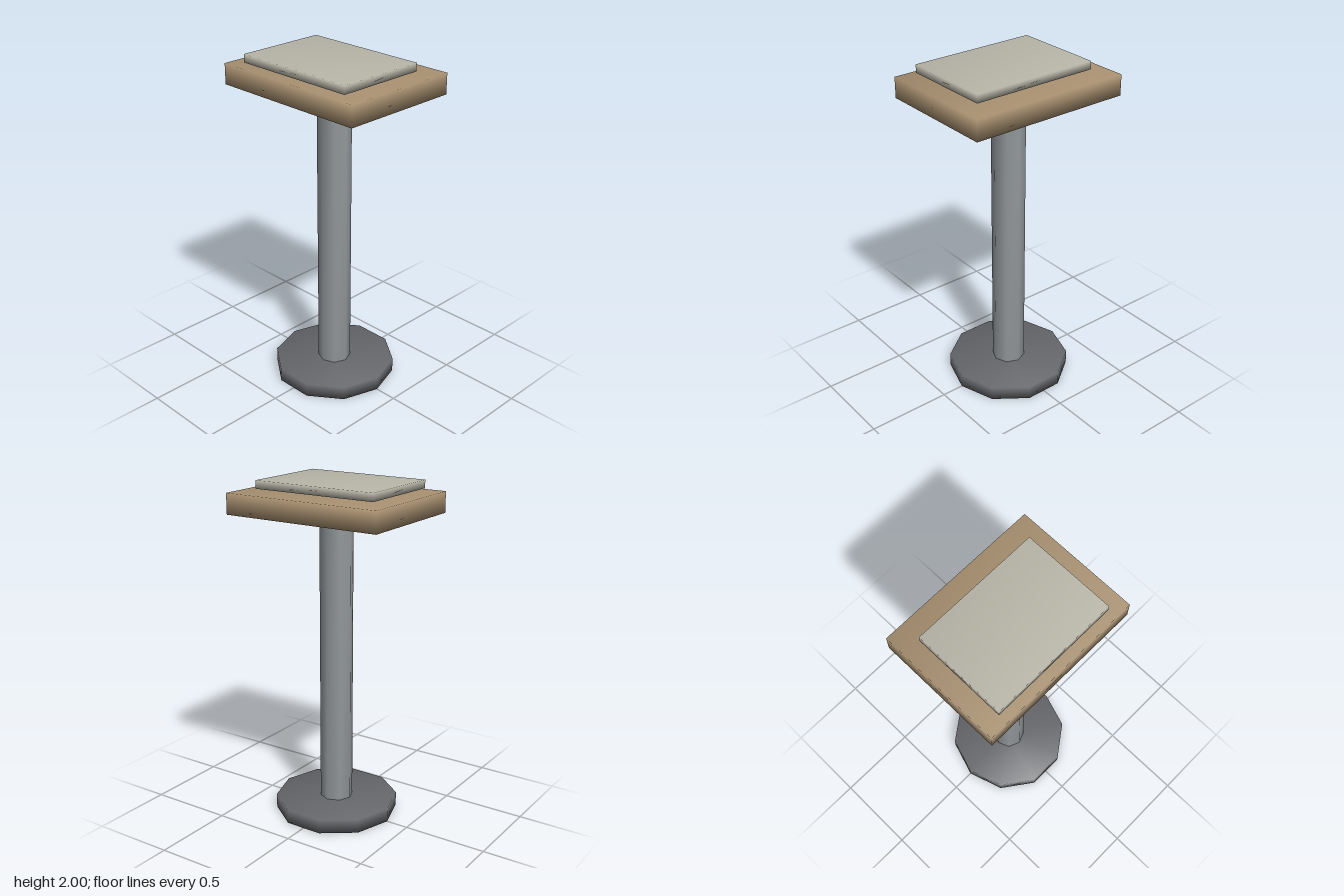
import * as THREE from 'three';
import { mergeVertices } from 'three/addons/utils/BufferGeometryUtils.js';

// Weld shared corners so the shading runs softly over the edges
function soften(geometry) {
  geometry.deleteAttribute('normal');
  geometry.deleteAttribute('uv');
  const welded = mergeVertices(geometry, 1e-4);
  welded.computeVertexNormals();
  return welded;
}

function part(name, geometry, color, y, z = 0) {
  const mesh = new THREE.Mesh(soften(geometry), new THREE.MeshStandardMaterial({ color }));
  mesh.name = name;
  mesh.position.set(0, y, z);
  return mesh;
}

// Upright prism with a corner on the x axis
function prism(radius, height, sides) {
  return new THREE.CylinderGeometry(radius, radius, height, sides).rotateY(Math.PI / 2);
}

export function createModel() {
  const group = new THREE.Group();
  group.name = 'lectern';

  // Ten-sided foot and eight-sided post
  group.add(part('base', prism(0.366, 0.085, 10), 0x66676b, 0.0425));
  group.add(part('column', prism(0.098, 1.71, 8), 0x92979a, 0.94));

  // Wide top board with a thin sheet set toward the front
  group.add(part('topBoard', new THREE.BoxGeometry(0.98, 0.122, 0.735), 0xa89070, 1.877));
  group.add(part('sheet', new THREE.BoxGeometry(0.772, 0.048, 0.548), 0xb8b5a8, 1.976, 0.04));

  return group;
}
